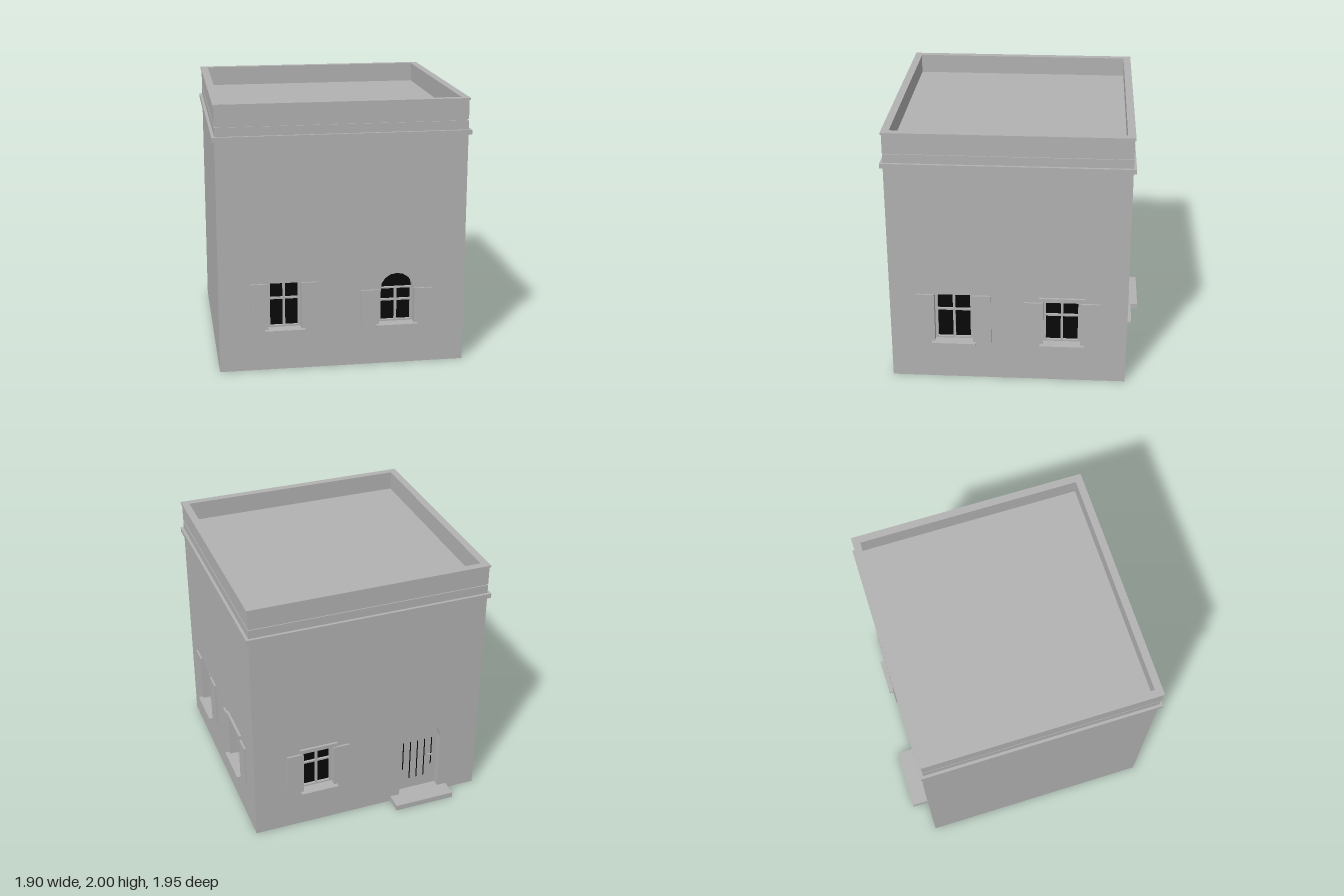
import * as THREE from 'three';

const stone = new THREE.MeshStandardMaterial({ color: 0xb2b2b2 });
stone.name = 'stone grey';
const dark = new THREE.MeshStandardMaterial({ color: 0x080808 });
dark.name = 'glass black';

// Outer wall planes and wall thickness
const X0 = -0.93, X1 = 0.9, Z0 = -0.85, Z1 = 0.93;
const WALL_TOP = 1.836, T = 0.08;

function add(parent, name, geometry, material = stone) {
  const mesh = new THREE.Mesh(geometry, material);
  mesh.name = name;
  parent.add(mesh);
  return mesh;
}

// Box given by its limits on each axis
function box(parent, name, x0, x1, y0, y1, z0, z1, material) {
  const mesh = add(parent, name, new THREE.BoxGeometry(x1 - x0, y1 - y0, z1 - z0), material);
  mesh.position.set((x0 + x1) / 2, (y0 + y1) / 2, (z0 + z1) / 2);
  return mesh;
}

function extrude(parent, name, shape, z0, z1, material) {
  const geometry = new THREE.ExtrudeGeometry(shape, { depth: z1 - z0, bevelEnabled: false, curveSegments: 4 });
  const mesh = add(parent, name, geometry, material);
  mesh.position.z = z0;
  return mesh;
}

function rect(PathType, x0, x1, y0, y1) {
  const p = new PathType();
  p.moveTo(x0, y0);
  p.lineTo(x1, y0);
  p.lineTo(x1, y1);
  p.lineTo(x0, y1);
  p.closePath();
  return p;
}

// Outline of a window or door, with an optional round top above the springing line
function outline(PathType, o) {
  const h = o.w / 2;
  if (!o.arch) return rect(PathType, o.u - h, o.u + h, o.y0, o.y1);
  const r = h - (o.shoulder || 0);
  const p = new PathType();
  p.moveTo(o.u - h, o.y0);
  p.lineTo(o.u + h, o.y0);
  p.lineTo(o.u + h, o.y1);
  p.absarc(o.u, o.y1, r, 0, Math.PI, false);
  p.lineTo(o.u - h, o.y1);
  p.closePath();
  return p;
}

// Rectangular ring around the building, pushed out from the walls by "out"
function ring(parent, name, out, width, y0, y1) {
  const shape = rect(THREE.Shape, X0 - out, X1 + out, -Z1 - out, -Z0 + out);
  const i = out - width;
  shape.holes.push(rect(THREE.Path, X0 - i, X1 + i, -Z1 - i, -Z0 + i));
  const geometry = new THREE.ExtrudeGeometry(shape, { depth: y1 - y0, bevelEnabled: false });
  geometry.rotateX(-Math.PI / 2);
  add(parent, name, geometry).position.y = y0;
}

function addWindow(face, o) {
  const g = new THREE.Group();
  g.name = 'window';
  face.add(g);
  const h = o.w / 2, b = 0.009;
  extrude(g, 'glass', outline(THREE.Shape, o), -0.07, -0.062, dark);

  // Frame and glazing bars
  const frame = rect(THREE.Shape, o.u - h, o.u + h, o.y0, o.y1);
  frame.holes.push(rect(THREE.Path, o.u - h + 0.02, o.u + h - 0.02, o.y0 + 0.012, o.y1 - 0.01));
  extrude(g, 'windowFrame', frame, -0.062, -0.04);
  box(g, 'uprightBar', o.u - b, o.u + b, o.y0, o.y1, -0.062, -0.043);
  box(g, 'crossBar', o.u - h, o.u + h, o.bar - b * 0.8, o.bar + b * 0.8, -0.062, -0.045);

  // Shutters, sill and lintel
  for (const s of [-1, 1]) {
    const c = o.u + s * (h + o.shutter / 2);
    box(g, 'shutter', c - o.shutter / 2, c + o.shutter / 2, o.y0, o.y1, -0.005, 0.014);
  }
  box(g, 'sill', o.u - o.sill, o.u + o.sill, 0.3, 0.318, -0.06, 0.047);
  if (o.lintel) box(g, 'lintel', o.u - o.lintel, o.u + o.lintel, 0.68, 0.712, -0.005, 0.018);
}

function addDoor(face, o) {
  const g = new THREE.Group();
  g.name = 'door';
  face.add(g);
  extrude(g, 'doorLeaf', outline(THREE.Shape, o), -0.075, -0.055);
  // Gaps between the planks
  for (let i = -2; i <= 2; i++) {
    const x = o.u + i * 0.06, low = Math.abs(i) === 2 ? 0.24 : 0.14;
    box(g, 'plankGap', x - 0.004, x + 0.004, low, 0.5, -0.056, -0.053, dark);
  }
  box(g, 'latch', o.u + 0.09, o.u + 0.13, 0.33, 0.345, -0.055, -0.042);
  box(g, 'doorstep', o.u - 0.24, o.u + 0.24, 0, 0.045, -0.01, 0.127);
}

// Each wall is laid out flat: u runs right and z points outward
const walls = [
  {
    name: 'frontWall', pos: [0, 0, Z1], turn: 0, from: X0, to: X1,
    windows: [
      { u: -0.447, w: 0.245, y0: 0.318, y1: 0.67, bar: 0.54, shutter: 0.126, sill: 0.15 },
      { u: 0.389, w: 0.263, y0: 0.318, y1: 0.585, bar: 0.485, shutter: 0.135, sill: 0.156, arch: true, shoulder: 0.01 },
    ],
  },
  {
    name: 'leftWall', pos: [X1, 0, 0], turn: Math.PI / 2, from: -Z1 + T, to: -Z0 - T,
    windows: [
      { u: -0.452, w: 0.286, y0: 0.318, y1: 0.715, bar: 0.565, shutter: 0.14, sill: 0.167 },
      { u: 0.362, w: 0.281, y0: 0.318, y1: 0.67, bar: 0.54, shutter: 0.146, sill: 0.166, lintel: 0.173 },
    ],
  },
  {
    name: 'backWall', pos: [0, 0, Z0], turn: Math.PI, from: -X1, to: -X0,
    windows: [
      { u: -0.393, w: 0.245, y0: 0.318, y1: 0.67, bar: 0.54, shutter: 0.126, sill: 0.147, lintel: 0.147 },
    ],
    door: { u: 0.453, w: 0.33, y0: 0.045, y1: 0.54, arch: true },
  },
  { name: 'rightWall', pos: [X0, 0, 0], turn: -Math.PI / 2, from: Z0 + T, to: Z1 - T, windows: [] },
];

export function createModel() {
  const model = new THREE.Group();
  model.name = 'house';

  // Solid core, whose top is the flat roof
  box(model, 'coreAndRoof', X0 + T - 0.04, X1 - T + 0.04, 1.8, 1.85, Z0 + T - 0.04, Z1 - T + 0.04);
  box(model, 'core', X0 + T, X1 - T, 0, 1.82, Z0 + T, Z1 - T);

  for (const w of walls) {
    const face = new THREE.Group();
    face.name = w.name;
    face.position.set(...w.pos);
    face.rotation.y = w.turn;
    model.add(face);
    const shape = rect(THREE.Shape, w.from, w.to, 0, WALL_TOP);
    const openings = w.door ? [...w.windows, w.door] : w.windows;
    for (const o of openings) shape.holes.push(outline(THREE.Path, o));
    extrude(face, 'wallSlab', shape, -T, 0);
    for (const o of w.windows) addWindow(face, o);
    if (w.door) addDoor(face, w.door);
  }

  // Cornice, shadow groove, parapet and coping
  ring(model, 'cornice', 0.021, 0.03, 1.735, 1.77);
  ring(model, 'groove', -0.008, 0.037, 1.83, 1.85);
  ring(model, 'parapet', 0, 0.045, 1.846, 1.986);
  ring(model, 'coping', 0.008, 0.057, 1.985, 2);
  return model;
}
